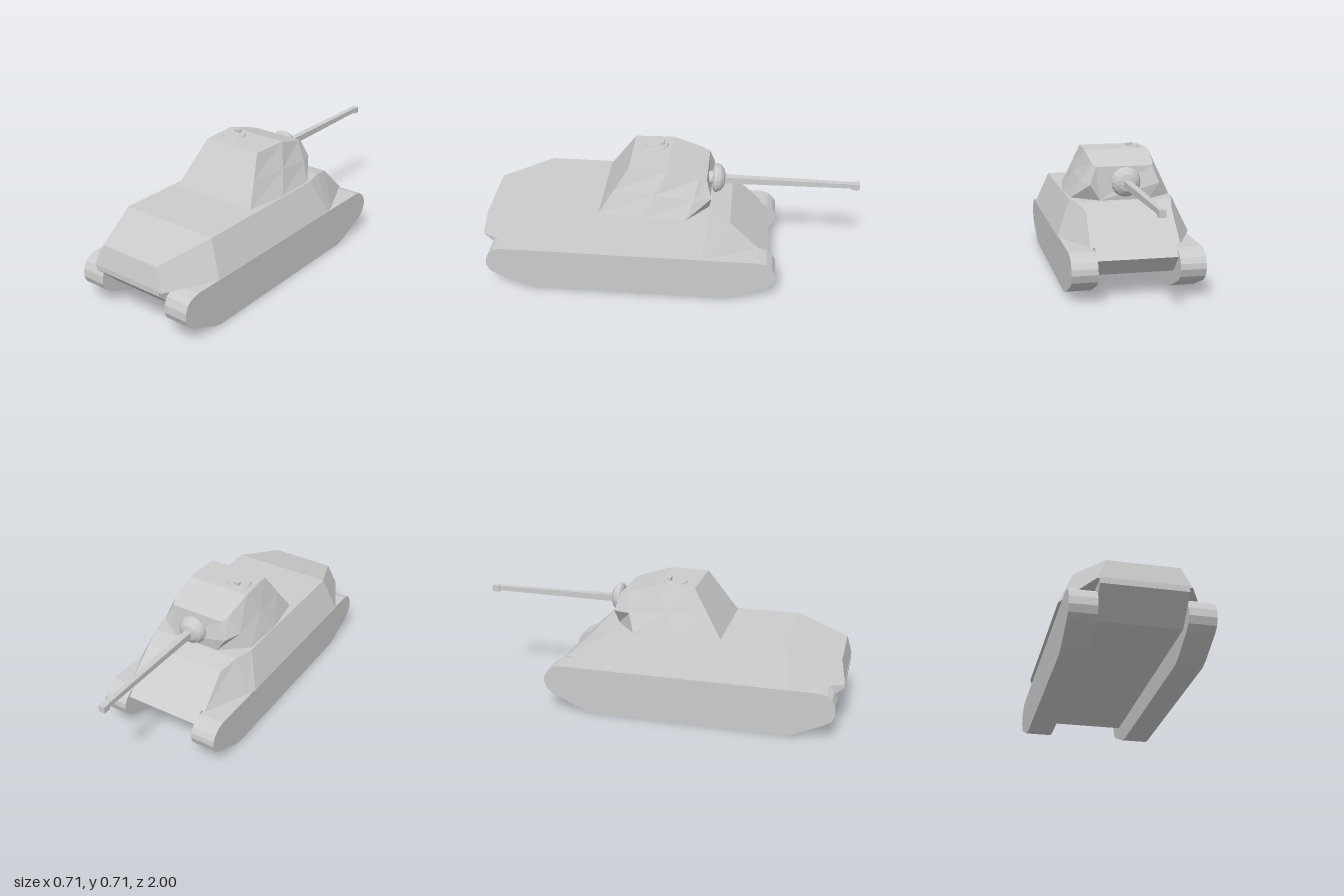
import * as THREE from 'three';

const material = new THREE.MeshStandardMaterial({ color: 0xcccccc, flatShading: true });

function add(group, name, geometry, x = 0, y = 0, z = 0) {
  const mesh = new THREE.Mesh(geometry, material);
  mesh.name = name;
  mesh.position.set(x, y, z);
  group.add(mesh);
  return mesh;
}

// Extrude a side profile of [z, y] points across x, from x0 to x1
function sideExtrude(profile, x0, x1) {
  const shape = new THREE.Shape(profile.map(([z, y]) => new THREE.Vector2(-z, y)));
  const geo = new THREE.ExtrudeGeometry(shape, { depth: x1 - x0, bevelEnabled: false });
  return geo.rotateY(Math.PI / 2).translate(x0, 0, 0);
}

// Skin mirrored stations, ordered from +z to -z.
// Each station lists the +x half of the section from bottom to top.
function mirroredLoft(stations) {
  const rings = stations.map((half) => [
    ...half,
    ...half.map(([x, y, z]) => [-x, y, z]).reverse(),
  ]);
  const n = rings[0].length;
  const pos = [];
  const tri = (a, b, c) => pos.push(...a, ...b, ...c);
  for (let i = 0; i < rings.length - 1; i++) {
    for (let j = 0; j < n; j++) {
      const k = (j + 1) % n;
      const a = rings[i][j], b = rings[i][k], c = rings[i + 1][k], d = rings[i + 1][j];
      tri(a, d, c);
      tri(a, c, b);
    }
  }
  const first = rings[0], last = rings[rings.length - 1];
  for (let j = 1; j < n - 1; j++) {
    tri(first[0], first[j], first[j + 1]);
    tri(last[0], last[j + 1], last[j]);
  }
  const geo = new THREE.BufferGeometry();
  geo.setAttribute('position', new THREE.Float32BufferAttribute(pos, 3));
  geo.computeVertexNormals();
  return geo;
}

export function createModel() {
  const tank = new THREE.Group();
  tank.name = 'tank';

  // Tracks
  const trackProfile = [
    [0.72, 0], [-0.31, 0], [-0.36, 0.012], [-0.53, 0.085], [-0.565, 0.115],
    [-0.58, 0.155], [-0.577, 0.185], [-0.56, 0.215], [-0.53, 0.24], [-0.49, 0.25],
    [0.88, 0.25], [0.92, 0.24], [0.95, 0.218], [0.967, 0.18], [0.97, 0.14],
    [0.955, 0.105], [0.92, 0.08], [0.77, 0.012],
  ];
  add(tank, 'leftTrack', sideExtrude(trackProfile, 0.208, 0.342));
  add(tank, 'rightTrack', sideExtrude(trackProfile, -0.342, -0.208));

  // Lower hull between the tracks
  add(tank, 'lowerHull', sideExtrude([
    [1, 0.27], [1, 0.24], [0.87, 0.115], [-0.44, 0.115], [-0.54, 0.213], [-0.48, 0.27],
  ], -0.208, 0.208));

  // Upper hull with sloped sides, overhanging the tracks
  add(tank, 'upperHull', mirroredLoft([
    [[0.222, 0.262, 1], [0.175, 0.375, 0.975]],
    [[0.353, 0.262, 0.74], [0.277, 0.445, 0.7]],
    [[0.353, 0.262, -0.19], [0.277, 0.445, -0.11]],
    [[0.335, 0.262, -0.24], [0.25, 0.445, -0.22]],
    [[0.23, 0.268, -0.485], [0.225, 0.42, -0.33]],
  ]));

  // Turret
  const turret = new THREE.Group();
  turret.name = 'turret';
  tank.add(turret);
  add(turret, 'turretRing', new THREE.CylinderGeometry(0.212, 0.212, 0.012, 32), 0, 0.447, 0.03);
  add(turret, 'turretShell', mirroredLoft([
    [[0.243, 0.45, 0.36], [0.204, 0.568, 0.283], [0.165, 0.687, 0.205]],
    [[0.277, 0.45, 0.13], [0.226, 0.568, 0.065], [0.174, 0.687, 0]],
    [[0.268, 0.45, -0.1], [0.22, 0.54, -0.135], [0.164, 0.638, -0.16]],
    [[0.13, 0.45, -0.215], [0.185, 0.535, -0.226], [0.148, 0.625, -0.2]],
  ]));

  // Roof hatch and periscope
  add(turret, 'hatch', new THREE.CylinderGeometry(0.057, 0.063, 0.01, 24), -0.083, 0.691, 0.082);
  add(turret, 'periscope', new THREE.BoxGeometry(0.035, 0.02, 0.017), -0.083, 0.702, 0.052);

  // Gun mount and domed mantlet
  add(turret, 'gunMount', new THREE.CylinderGeometry(0.036, 0.036, 0.05, 16).rotateX(Math.PI / 2), 0, 0.55, -0.215);
  const dome = [[0, 0], [0.06, 0], [0.076, 0.01], [0.078, 0.022], [0.068, 0.043], [0.045, 0.06], [0, 0.07]];
  const mantlet = new THREE.LatheGeometry(dome.map(([r, h]) => new THREE.Vector2(r, h)), 20);
  add(turret, 'mantlet', mantlet.rotateX(-Math.PI / 2), 0, 0.55, -0.225);

  // Square tapered barrel with a wider muzzle
  const rod = (half0, half1, length) =>
    new THREE.CylinderGeometry(half1 * Math.SQRT2, half0 * Math.SQRT2, length, 4)
      .rotateY(Math.PI / 4).rotateX(-Math.PI / 2);
  add(turret, 'barrel', rod(0.018, 0.013, 0.68), 0, 0.544, -0.62);
  add(turret, 'muzzle', rod(0.017, 0.017, 0.04), 0, 0.541, -0.98);

  return tank;
}
